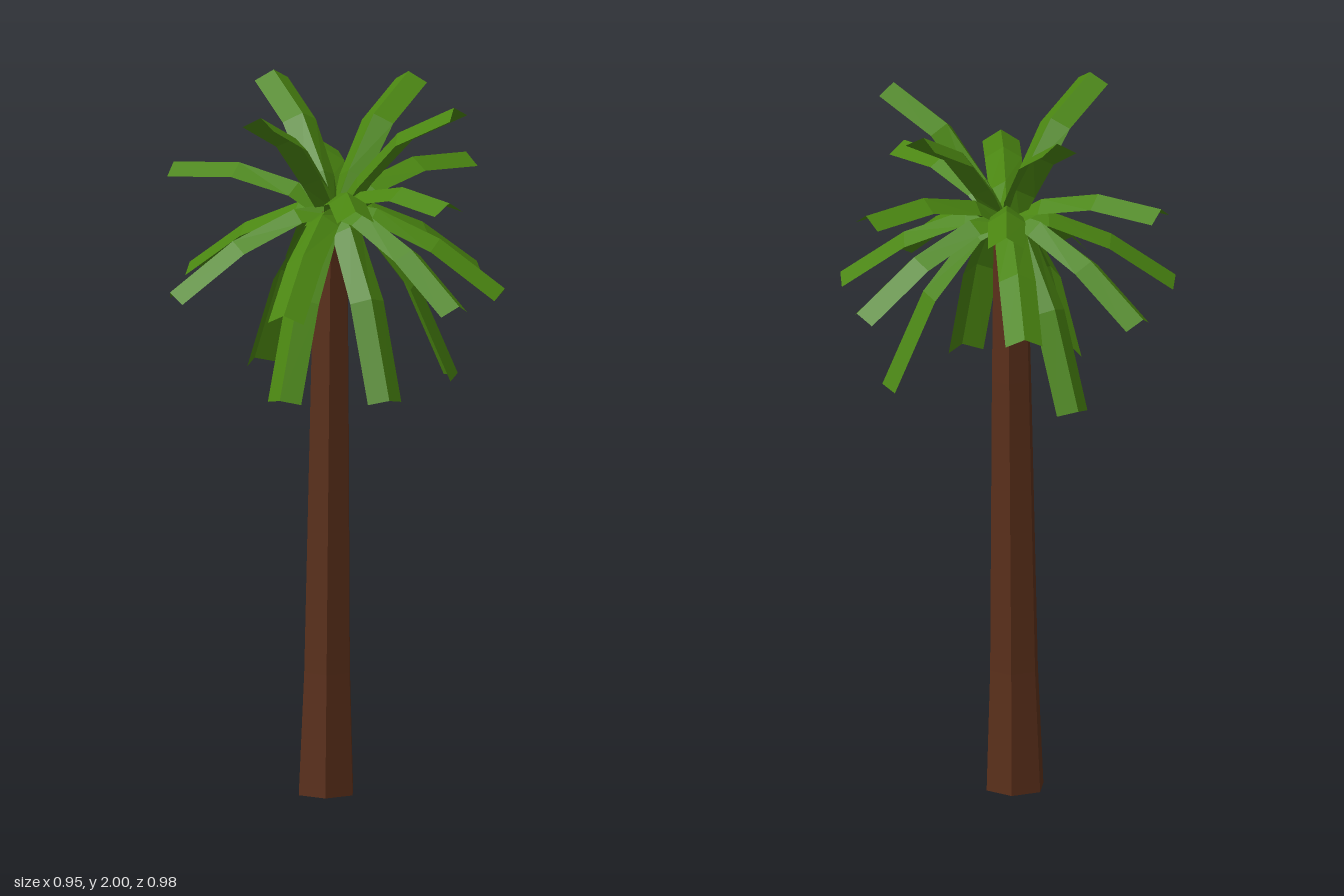
import * as THREE from 'three';

const leafMaterial = new THREE.MeshStandardMaterial({ color: 0x4a8511, flatShading: true, side: THREE.DoubleSide });
const barkMaterial = new THREE.MeshStandardMaterial({ color: 0x5a2f1a, flatShading: true });

// Each tier: ridge line as [distance from the crown centre, height], and frond headings in degrees
const tiers = [
  { name: 'raisedFrond', ridge: [[0, 1.67], [0.07, 1.77], [0.2, 1.91], [0.378, 2]], angles: [27, 122, 242, 302] },
  { name: 'levelFrond', ridge: [[0, 1.67], [0.11, 1.74], [0.29, 1.782], [0.49, 1.768]], angles: [48, 82, 202, 264, 317.5] },
  { name: 'archingFrond', ridge: [[0, 1.69], [0.12, 1.68], [0.3, 1.6], [0.485, 1.465]], angles: [10, 43, 106, 161, 212, 258, 324] },
  { name: 'hangingFrond', ridge: [[0, 1.69], [0.1, 1.64], [0.235, 1.46], [0.35, 1.19]], angles: [63, 115, 229, 348.5] },
];
const halfWidths = [0.03, 0.046, 0.052, 0.052];
const foldDepth = 0.033;

// A strip folded along its ridge, running outward along +x
function frondGeometry(ridge) {
  const positions = [];
  const indices = [];
  ridge.forEach(([r, y], i) => {
    const a = ridge[Math.max(i - 1, 0)];
    const b = ridge[Math.min(i + 1, ridge.length - 1)];
    const length = Math.hypot(b[0] - a[0], b[1] - a[1]);
    const er = r + ((b[1] - a[1]) / length) * foldDepth;
    const ey = y - ((b[0] - a[0]) / length) * foldDepth;
    const w = halfWidths[i];
    positions.push(er, ey, w, r, y, 0, er, ey, -w);
    if (i > 0) {
      for (const k of [0, 1]) {
        const p = (i - 1) * 3 + k;
        indices.push(p, p + 3, p + 1, p + 1, p + 3, p + 4);
      }
    }
  });
  const geometry = new THREE.BufferGeometry();
  geometry.setAttribute('position', new THREE.Float32BufferAttribute(positions, 3));
  geometry.setIndex(indices);
  const flat = geometry.toNonIndexed();
  flat.computeVertexNormals();
  return flat;
}

// Six-sided tapering trunk with a flared foot and a slight lean
function trunkGeometry() {
  const profile = [[0, 0], [0.087, 0], [0.073, 0.35], [0.06, 1.2], [0.05, 1.67], [0, 1.68]];
  const geometry = new THREE.LatheGeometry(profile.map(([r, y]) => new THREE.Vector2(r, y)), 6);
  const p = geometry.attributes.position;
  for (let i = 0; i < p.count; i++) {
    const t = p.getY(i) / 1.68;
    p.setX(i, p.getX(i) - 0.03 + 0.015 * t);
    p.setZ(i, p.getZ(i) - 0.018 + 0.01 * t);
  }
  geometry.computeVertexNormals();
  return geometry;
}

export function createModel() {
  const model = new THREE.Group();
  model.name = 'palmTree';

  const trunk = new THREE.Mesh(trunkGeometry(), barkMaterial);
  trunk.name = 'trunk';
  model.add(trunk);

  // Crown of fronds in four tiers
  const crown = new THREE.Group();
  crown.name = 'crown';
  crown.position.x = -0.005;
  for (const { name, ridge, angles } of tiers) {
    const geometry = frondGeometry(ridge);
    for (const angle of angles) {
      const frond = new THREE.Mesh(geometry, leafMaterial);
      frond.name = name;
      frond.rotation.y = -THREE.MathUtils.degToRad(angle);
      crown.add(frond);
    }
  }
  model.add(crown);
  return model;
}
